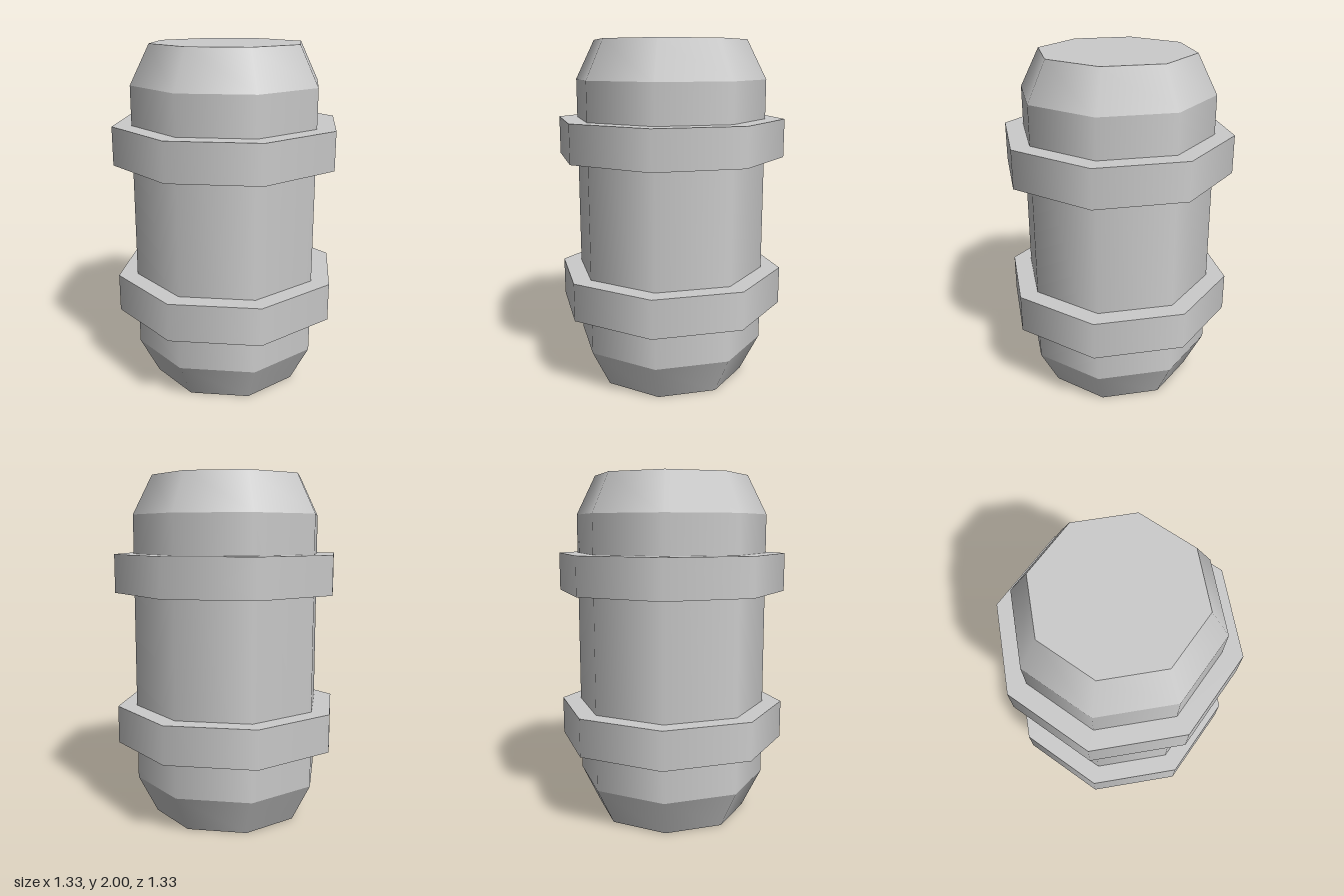
import * as THREE from 'three';
import { mergeGeometries } from 'three/addons/utils/BufferGeometryUtils.js';

const SIDES = 8;
const END_R = 0.444, BODY_R = 0.556, BAND_R = 0.667;

// Turns a profile (bottom to top) into an octagonal part: smooth around, sharp between steps.
function turned(name, profile, material) {
  const points = profile.map(([r, y]) => new THREE.Vector2(r, y));
  const strips = [];
  for (let i = 0; i < points.length - 1; i++) {
    strips.push(new THREE.LatheGeometry([points[i], points[i + 1]], SIDES));
  }
  const mesh = new THREE.Mesh(mergeGeometries(strips), material);
  mesh.name = name;
  return mesh;
}

export function createModel() {
  const group = new THREE.Group();
  group.name = 'barrel';
  const material = new THREE.MeshStandardMaterial({ color: 0xcccccc });

  // Tapered ends with flat lids
  group.add(turned('bottomEnd', [[0, 0], [END_R, 0], [BODY_R, 0.222]], material));
  group.add(turned('topEnd', [[BODY_R, 1.778], [END_R, 2], [0, 2]], material));

  // Straight wall
  group.add(turned('body', [[BODY_R, 0.222], [BODY_R, 1.778]], material));

  // Raised hoops
  for (const [name, low, high] of [['lowerHoop', 0.447, 0.667], ['upperHoop', 1.336, 1.556]]) {
    group.add(turned(name, [[BODY_R, low], [BAND_R, low], [BAND_R, high], [BODY_R, high]], material));
  }
  return group;
}
